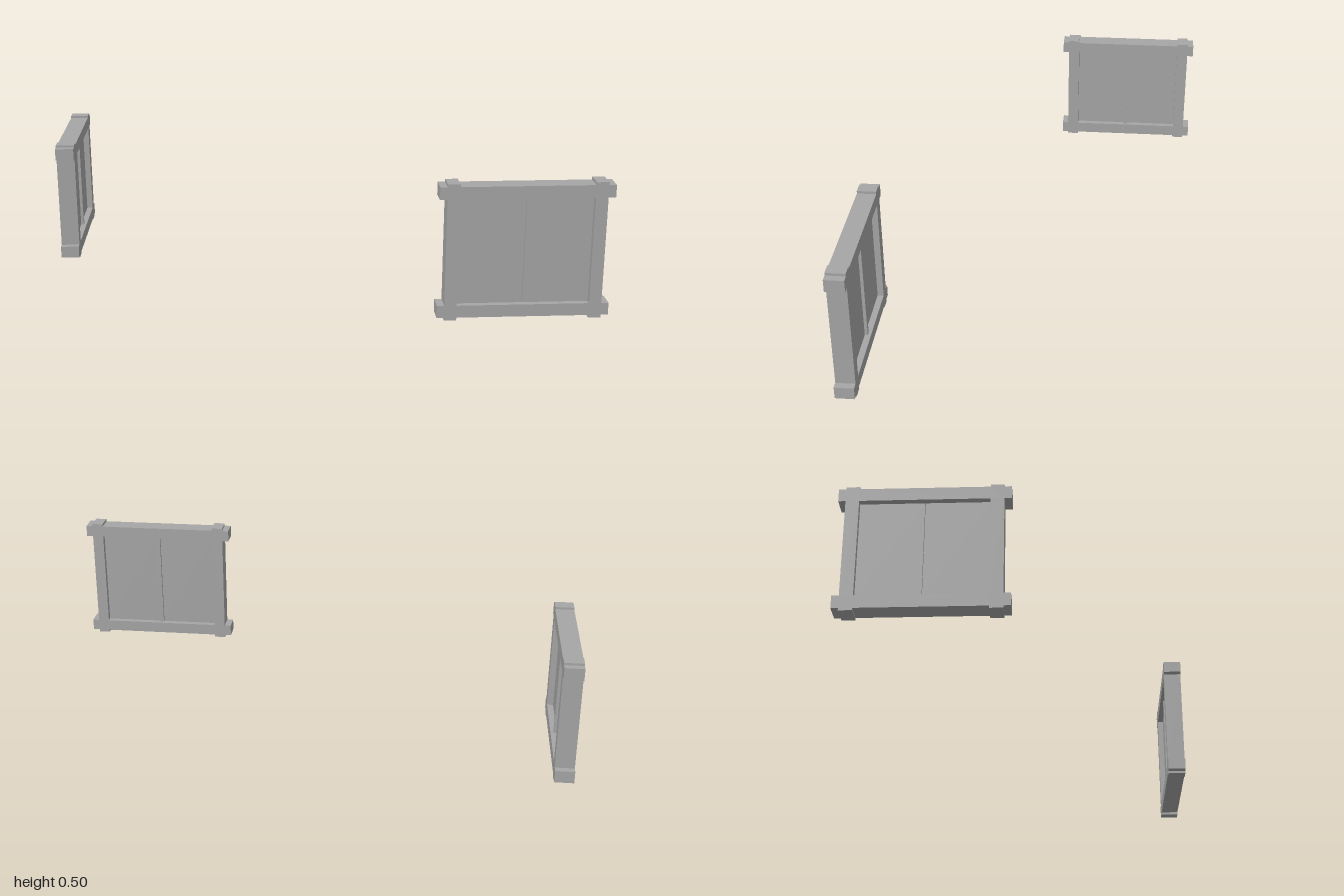
import * as THREE from 'three';

const DEPTH = 0.069;

// One window: lapped frame with projecting rail and stile ends, two panes and a thin bar
function makeWindow(name, { railW, stileH, stileX, openX, railY, openY }, material) {
  const group = new THREE.Group();
  group.name = name;

  // Quarter outline at a corner, mirrored round the four corners
  const corner = [[railW, openY], [railW, railY], [stileX, railY], [stileX, stileH], [openX, stileH], [openX, railY]];
  const inset = [[stileX, openY], ...corner];
  const outline = [];
  for (const [sx, sy] of [[1, 1], [-1, 1], [-1, -1], [1, -1]]) {
    const pts = inset.map(([x, y]) => new THREE.Vector2(x * sx, y * sy));
    outline.push(...(sx * sy > 0 ? pts : pts.reverse()));
  }
  const shape = new THREE.Shape(outline);
  shape.holes.push(new THREE.Path([
    new THREE.Vector2(-openX, -openY), new THREE.Vector2(-openX, openY),
    new THREE.Vector2(openX, openY), new THREE.Vector2(openX, -openY),
  ]));
  const frameGeo = new THREE.ExtrudeGeometry(shape, { depth: DEPTH, bevelEnabled: false });
  frameGeo.translate(0, 0, -DEPTH / 2);

  const add = (part, geo, x = 0, z = 0) => {
    const mesh = new THREE.Mesh(geo, material);
    mesh.name = part;
    mesh.position.set(x, 0, z);
    group.add(mesh);
  };
  add('frame', frameGeo);

  // Panes meet at a narrow seam, closed by the bar on the inner side
  const seam = 0.002;
  const paneW = openX - seam / 2;
  for (const s of [-1, 1]) {
    add(s < 0 ? 'rightPane' : 'leftPane', new THREE.BoxGeometry(paneW, openY * 2, 0.024), s * (paneW + seam) / 2);
  }
  add('centreBar', new THREE.BoxGeometry(0.016, openY * 2, 0.024), 0, -0.011);
  return group;
}

export function createModel() {
  const model = new THREE.Group();
  model.name = 'windowPair';
  const grey = new THREE.MeshStandardMaterial({ color: 0xa6a6a6 });
  grey.name = 'grey';

  // Larger window facing the front
  const front = makeWindow('frontWindow',
    { railW: 0.305, stileH: 0.25, stileX: 0.279, openX: 0.235, railY: 0.24, openY: 0.195 }, grey);
  front.position.set(0.695, 0.25, 0.569);

  // Smaller window facing the side
  const side = makeWindow('sideWindow',
    { railW: 0.284, stileH: 0.228, stileX: 0.26, openX: 0.215, railY: 0.22, openY: 0.175 }, grey);
  side.position.set(-0.9655, 0.251, -0.3195);
  side.rotation.y = -Math.PI / 2;

  model.add(front, side);
  return model;
}
